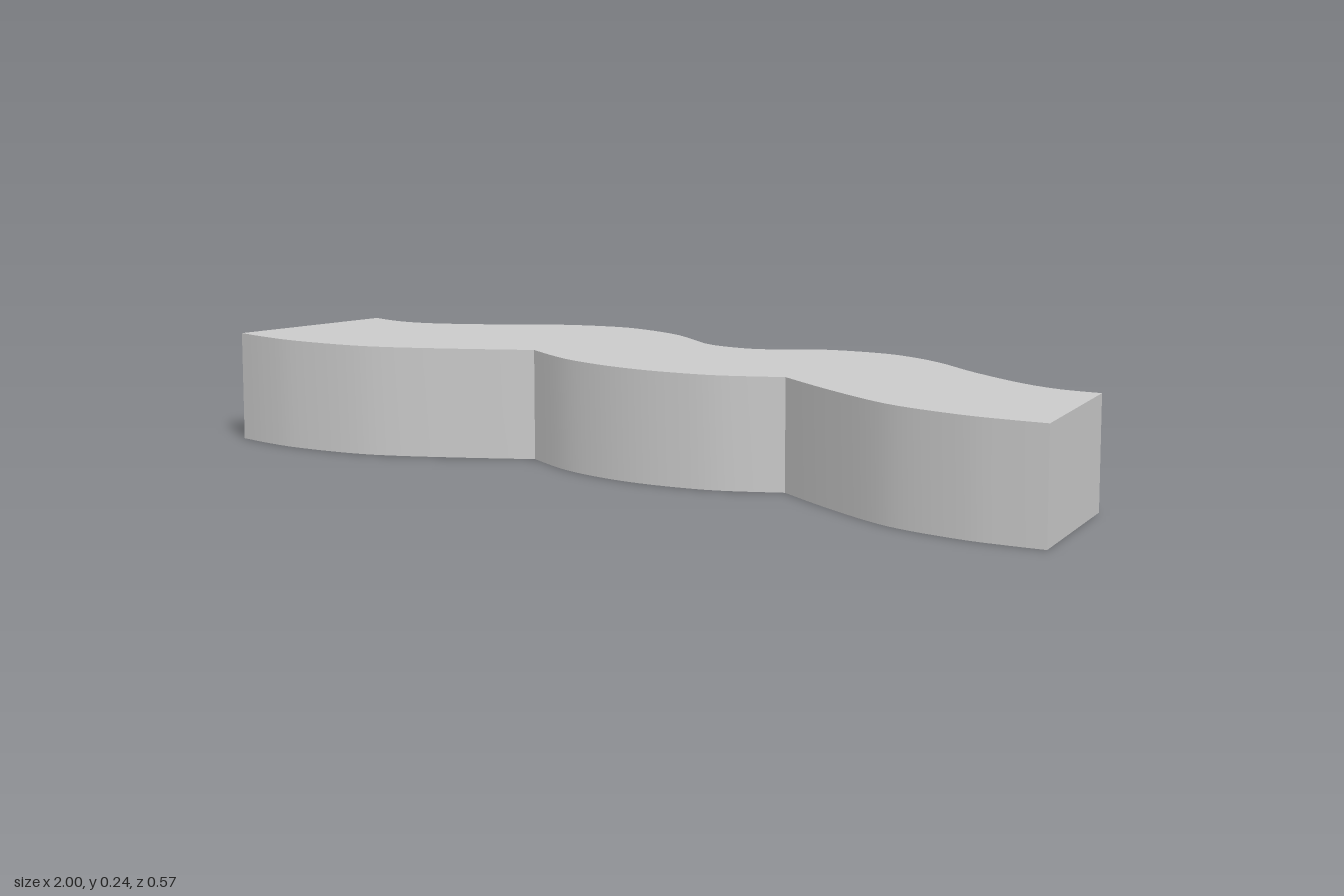
import * as THREE from 'three';
import { toCreasedNormals } from 'three/addons/utils/BufferGeometryUtils.js';

const HEIGHT = 0.237;

// Outline runs as [x, z] points; each run is one smooth curve, corners lie between runs
const frontLeftLobe = [[-1, 0.265], [-0.92, 0.278], [-0.83, 0.283], [-0.7, 0.269], [-0.6, 0.24], [-0.45, 0.168], [-0.315, 0.095]];
const frontMiddleLobe = [[-0.315, 0.095], [-0.2, 0.15], [-0.1, 0.175], [0, 0.183], [0.1, 0.175], [0.2, 0.152], [0.32, 0.095]];
const frontRightLobe = [[0.32, 0.095], [0.45, 0.165], [0.6, 0.235], [0.7, 0.264], [0.83, 0.277], [0.92, 0.273], [1, 0.265]];
const backWave = [[0.93, -0.09], [0.84, -0.085], [0.74, -0.11], [0.6, -0.175], [0.49, -0.24], [0.4, -0.275], [0.315, -0.285],
  [0.2, -0.263], [0.13, -0.222], [0.07, -0.186], [0, -0.177], [-0.06, -0.187], [-0.12, -0.222], [-0.2, -0.265],
  [-0.315, -0.288], [-0.4, -0.277], [-0.5, -0.238], [-0.6, -0.172], [-0.74, -0.097], [-0.83, -0.077], [-0.91, -0.088]];

const toVectors = (run) => run.map(([x, z]) => new THREE.Vector2(x, -z));

export function createModel() {
  const group = new THREE.Group();
  group.name = 'wavyBlock';

  // Wavy outline, closed by two slanted straight ends
  const outline = new THREE.Shape();
  outline.moveTo(-1, -0.265);
  for (const lobe of [frontLeftLobe, frontMiddleLobe, frontRightLobe]) {
    outline.splineThru(toVectors(lobe.slice(1)));
  }
  outline.lineTo(backWave[0][0], -backWave[0][1]);
  outline.splineThru(toVectors(backWave.slice(1)));
  outline.closePath();

  // Extrude upwards with smooth walls and sharp corners
  const geometry = new THREE.ExtrudeGeometry(outline, { depth: HEIGHT, bevelEnabled: false, curveSegments: 4 });
  geometry.rotateX(-Math.PI / 2);
  const body = new THREE.Mesh(toCreasedNormals(geometry, 0.5), new THREE.MeshStandardMaterial({ color: 0xcccccc }));
  body.name = 'body';
  group.add(body);
  return group;
}
